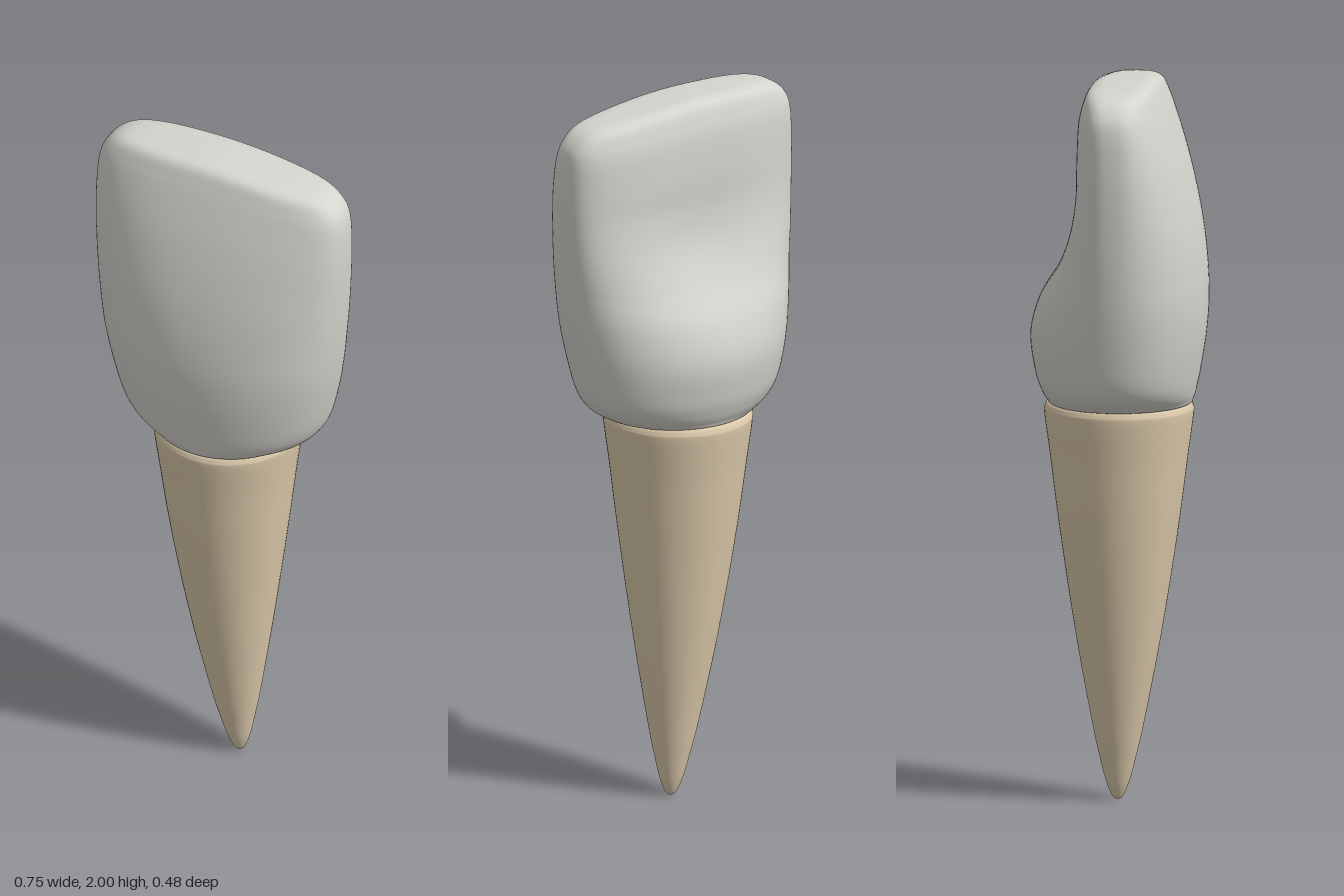
import * as THREE from 'three';

const enamel = new THREE.MeshStandardMaterial({ color: 0xd6d4ce });
enamel.name = 'enamel';
const dentine = new THREE.MeshStandardMaterial({ color: 0xdccaab });
dentine.name = 'dentine';

// Smooth surface through cross-sections, bottom to top.
// Row: [y, xMin, xMax, zFront, zBack, zWidest, front power, back power]
function loft(rows, steps, sides, adjust = () => {}) {
  const curves = rows[0].map((_, k) =>
    new THREE.SplineCurve(rows.map((r, i) => new THREE.Vector2(i, r[k]))));
  const pos = [], index = [], p = new THREE.Vector3();
  for (let j = 0; j <= steps; j++) {
    const [y, x0, x1, zf, zb, zc, nf, nb] = curves.map(c => c.getPoint(j / steps).y);
    for (let i = 0; i < sides; i++) {
      const a = (i / sides) * Math.PI * 2, c = Math.cos(a), s = Math.sin(a);
      const e = 2 / (s > 0 ? nf : nb);
      const half = (x1 - x0) / 2;
      p.set((x0 + x1) / 2 + Math.sign(c) * Math.abs(c) ** e * half, y,
        zc + Math.abs(s) ** e * ((s > 0 ? zf : zb) - zc));
      adjust(p, s);
      pos.push(p.x, p.y, p.z);
      if (j < steps) {
        const b = j * sides + i, d = j * sides + (i + 1) % sides;
        index.push(b, b + sides, d + sides, b, d + sides, d);
      }
    }
  }
  const g = new THREE.BufferGeometry();
  g.setAttribute('position', new THREE.Float32BufferAttribute(pos, 3));
  g.setIndex(index);
  g.computeVertexNormals();
  return g;
}

export function createModel() {
  const group = new THREE.Group();
  group.name = 'tooth';
  const add = (name, geometry, material) => {
    const mesh = new THREE.Mesh(geometry, material);
    mesh.name = name;
    group.add(mesh);
  };

  // Crown: rounded neck, bulging back, thin biting edge
  const crownRows = [
    [1.115, -0.12, 0.12, 0.12, -0.12, 0, 2, 2],
    [1.105, -0.19, 0.19, 0.19, -0.183, 0, 2, 2],
    [1.12, -0.235, 0.235, 0.204, -0.198, 0, 2, 2],
    [1.15, -0.275, 0.275, 0.212, -0.213, 0, 2.1, 2],
    [1.2, -0.303, 0.303, 0.222, -0.228, 0.005, 2.1, 2],
    [1.3, -0.328, 0.328, 0.237, -0.24, 0.015, 2.1, 2],
    [1.4, -0.346, 0.346, 0.243, -0.215, 0.025, 2.1, 2.1],
    [1.5, -0.358, 0.358, 0.238, -0.162, 0.03, 2.1, 2.4],
    [1.6, -0.366, 0.366, 0.224, -0.124, 0.03, 2.2, 2.8],
    [1.7, -0.372, 0.372, 0.202, -0.104, 0.03, 2.3, 3],
    [1.8, -0.374, 0.374, 0.174, -0.1, 0.028, 2.5, 3],
    [1.9, -0.369, 0.369, 0.14, -0.095, 0.022, 2.8, 3],
    [1.95, -0.352, 0.352, 0.121, -0.085, 0.018, 3, 3],
    [1.985, -0.31, 0.31, 0.104, -0.07, 0.017, 3.2, 3.2],
    [1.998, -0.24, 0.24, 0.08, -0.045, 0.016, 3.2, 3.2],
    [2, -0.12, 0.12, 0.045, -0.012, 0.016, 3, 3],
    [2, 0, 0, 0.016, 0.016, 0.016, 3, 3],
  ];
  add('crown', loft(crownRows, 128, 96, (p, s) => {
    // Biting edge slopes down toward +x
    p.y -= 0.024 * THREE.MathUtils.smoothstep(p.x, -0.05, 0.3)
      * THREE.MathUtils.smoothstep(p.y, 1.65, 1.98);
    // Shallow hollow in the back
    if (s < 0) p.z += 0.014 * s * s * Math.exp(-((p.x / 0.16) ** 2) - ((p.y - 1.6) / 0.13) ** 2);
  }), enamel);

  // Root: tapered cone with a blunt tip leaning toward +x
  const profile = [[0, 0], [0.008, 0.014], [0.05, 0.032], [0.12, 0.05], [0.2, 0.068], [0.4, 0.106],
    [0.6, 0.139], [0.8, 0.168], [0.95, 0.187], [1.07, 0.203], [1.095, 0.202], [1.108, 0.192],
    [1.11, 0.17], [1.11, 0]];
  const rootRows = profile.map(([y, r]) => {
    const lean = Math.max(0, 1 - y / 1.1) ** 2, x = 0.031 * lean, z = -0.008 * lean;
    return [y, x - r, x + r, z + r, z - r, z, 2, 2];
  });
  add('root', loft(rootRows, 78, 64), dentine);

  return group;
}
